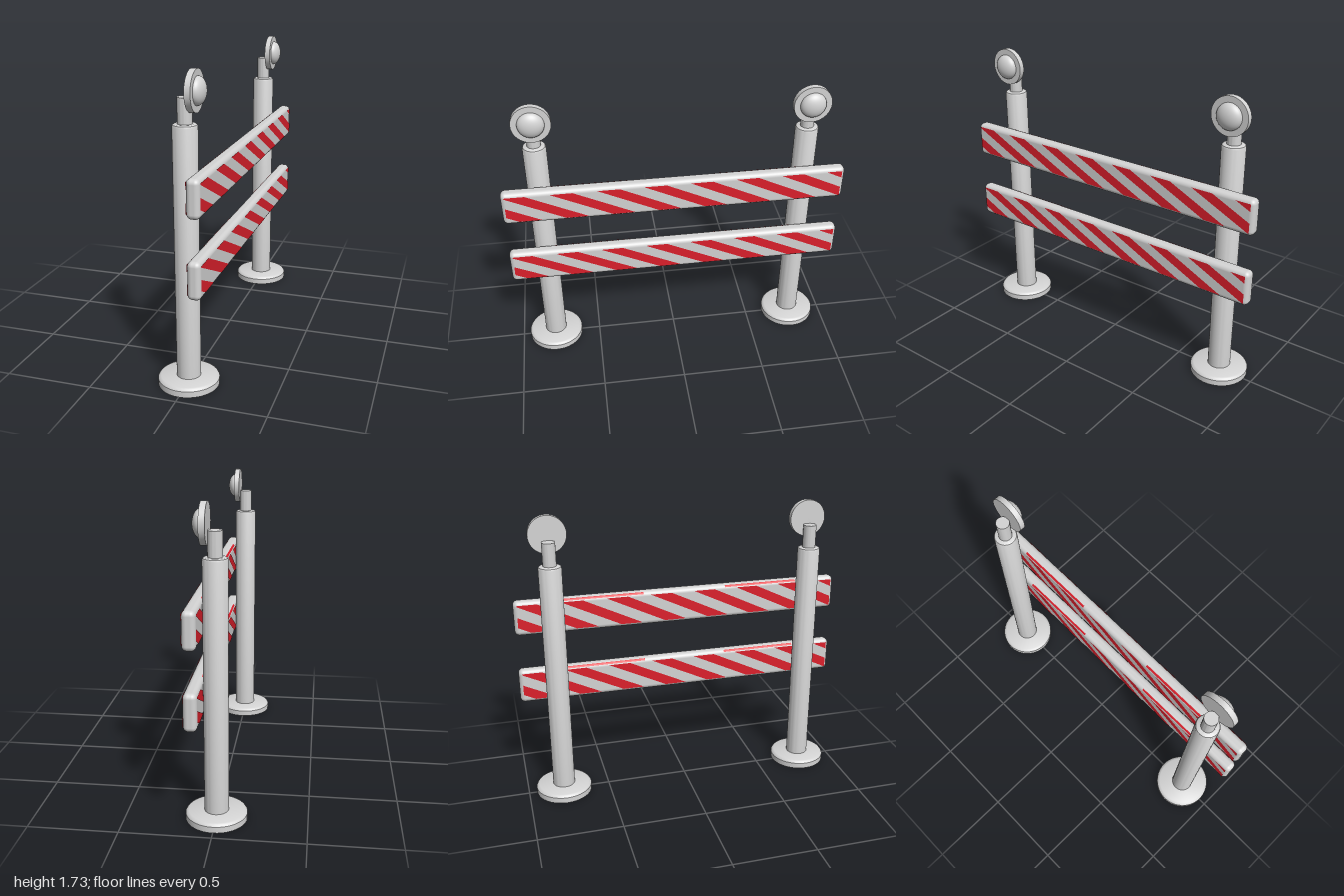
import * as THREE from 'three';
import { toCreasedNormals } from 'three/addons/utils/BufferGeometryUtils.js';
import { RoundedBoxGeometry } from 'three/addons/geometries/RoundedBoxGeometry.js';

const grey = new THREE.MeshStandardMaterial({ color: 0xd4d4d4 });
grey.name = 'light grey';
const red = new THREE.MeshStandardMaterial({ color: 0xdc1f2b, side: THREE.DoubleSide });
red.name = 'signal red';

function part(name, geometry, material, x = 0, y = 0, z = 0) {
  const mesh = new THREE.Mesh(geometry, material);
  mesh.name = name;
  mesh.position.set(x, y, z);
  return mesh;
}

// Turned part from [radius, height] pairs, with crisp edges
function turned(points) {
  const profile = points.map(([r, h]) => new THREE.Vector2(r, h));
  return toCreasedNormals(new THREE.LatheGeometry(profile, 40), 0.6);
}

// Diagonal stripes clipped to a rectangle, centred on the origin and facing +z
function stripeGeometry(halfWidth, halfHeight) {
  const period = 0.269, width = 0.13, lean = 0.354, first = -1.263;
  const cut = (points, limit, sign) => {
    const out = [];
    points.forEach((a, i) => {
      const b = points[(i + 1) % points.length];
      const da = limit - sign * a.x, db = limit - sign * b.x;
      if (da >= 0) out.push(a);
      if (da * db < 0) out.push(a.clone().lerp(b, da / (da - db)));
    });
    return out;
  };
  const shapes = [];
  for (let i = 0; i < 9; i++) {
    const u = first + i * period;
    let points = [
      new THREE.Vector2(u, halfHeight),
      new THREE.Vector2(u + lean, -halfHeight),
      new THREE.Vector2(u + lean + width, -halfHeight),
      new THREE.Vector2(u + width, halfHeight),
    ];
    points = cut(cut(points, halfWidth, 1), halfWidth, -1);
    if (points.length > 2) shapes.push(new THREE.Shape(points));
  }
  return new THREE.ShapeGeometry(shapes);
}

// Post with round foot, neck and warning lamp facing +x
function makePost(z) {
  const post = new THREE.Group();
  post.name = 'post';
  post.position.z = z;
  post.add(part('foot', turned([[0, 0], [0.17, 0], [0.17, 0.035], [0.163, 0.045], [0.152, 0.05], [0, 0.05]]), grey));
  post.add(part('column', turned([[0, 0.04], [0.067, 0.04], [0.067, 1.44], [0.063, 1.45], [0.055, 1.455], [0, 1.455]]), grey));
  post.add(part('neck', turned([[0, 1.44], [0.039, 1.44], [0.039, 1.59], [0, 1.59]]), grey));

  const lamp = new THREE.Group();
  lamp.name = 'lamp';
  lamp.position.set(0.036, 1.623, 0);
  lamp.rotation.z = -Math.PI / 2;
  lamp.add(part('lampPlate', turned([[0, 0], [0.11, 0], [0.11, 0.033], [0, 0.033]]), grey));
  const dome = new THREE.SphereGeometry(0.075, 40, 12, 0, Math.PI * 2, 0, Math.PI / 2);
  dome.scale(1, 0.6, 1);
  lamp.add(part('lampDome', dome, grey, 0, 0.033, 0));
  post.add(lamp);
  return post;
}

// Striped rail, both faces painted
function makeRail(y) {
  const rail = new THREE.Group();
  rail.name = 'rail';
  rail.position.set(0.107, y, 0);
  const radius = 0.028;
  rail.add(part('board', new RoundedBoxGeometry(0.074, 0.209, 2, 4, radius), grey));

  const stripes = stripeGeometry(0.98, 0.085);
  for (const side of [1, -1]) {
    const face = part('stripes', stripes, red, side * 0.0385);
    face.rotation.y = side * Math.PI / 2;
    rail.add(face);
  }

  // Red marks wrapping the upper back edge
  for (const [from, to] of [[0.28, 0.74], [-0.72, -0.23]]) {
    const strip = new THREE.CylinderGeometry(radius + 0.001, radius + 0.001, to - from, 6, 1, true, Math.PI * 1.18, Math.PI * 0.16);
    strip.rotateX(Math.PI / 2);
    rail.add(part('edgeMark', strip, red, -0.037 + radius, 0.1045 - radius, (from + to) / 2));
  }
  return rail;
}

export function createModel() {
  const model = new THREE.Group();
  model.name = 'barrier';
  for (const z of [0.785, -0.782]) model.add(makePost(z));
  for (const y of [0.695, 1.125]) model.add(makeRail(y));
  return model;
}
